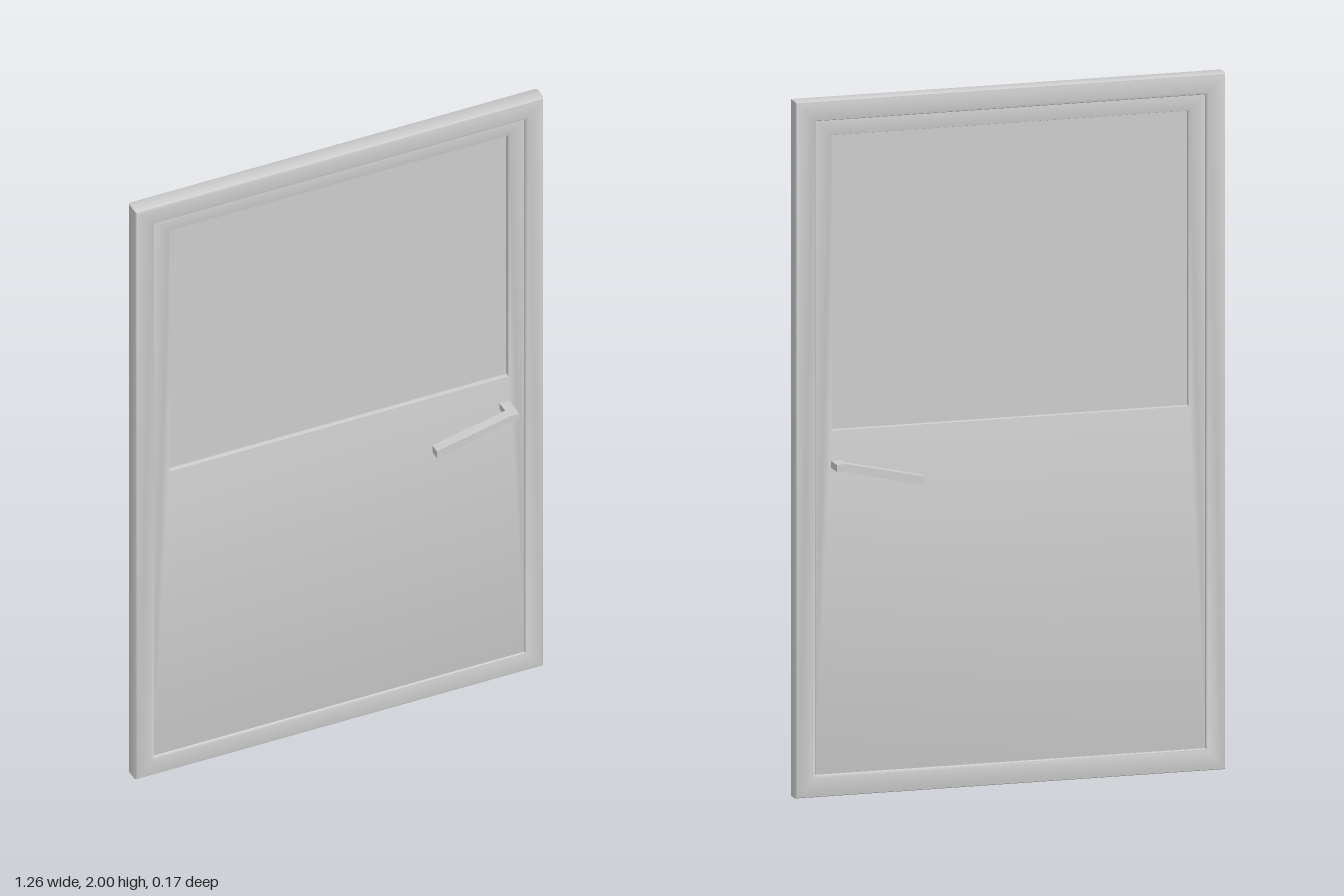
import * as THREE from 'three';
import { toCreasedNormals } from 'three/addons/utils/BufferGeometryUtils.js';

const material = new THREE.MeshStandardMaterial({ color: 0xcccccc });
const CENTER_Z = -0.008; // mid-plane of the door

function rectPoints(x, y0, y1) {
  return [[-x, y0], [x, y0], [x, y1], [-x, y1]].map(([a, b]) => new THREE.Vector2(a, b));
}

// Extrusion between z0 and z1 whose bevel stays inside the given outline
function slab(name, points, hole, z0, z1, bevel) {
  const shape = new THREE.Shape(points);
  if (hole) shape.holes.push(new THREE.Path(hole));
  const geometry = new THREE.ExtrudeGeometry(shape, {
    depth: z1 - z0 - 2 * bevel,
    bevelEnabled: bevel > 0,
    bevelThickness: bevel,
    bevelSize: bevel,
    bevelOffset: -bevel,
    bevelSegments: 2,
  });
  geometry.translate(0, 0, z0 + bevel);
  const mesh = new THREE.Mesh(toCreasedNormals(geometry, 0.6), material);
  mesh.name = name;
  return mesh;
}

// Lever handle: a square stem and a sloping grip, on the front (1) or back (-1)
function handle(side) {
  const group = new THREE.Group();
  group.name = side > 0 ? 'frontHandle' : 'backHandle';
  const grip = [[0.27, 0.89], [0.285, 0.89], [0.5, 0.943], [0.525, 0.943], [0.525, 0.963], [0.5, 0.965], [0.27, 0.914]]
    .map(([x, y]) => new THREE.Vector2(x, y));
  const mid = -0.0035;
  const near = mid + side * 0.054, far = mid + side * 0.084;
  group.add(slab('grip', grip, null, Math.min(near, far), Math.max(near, far), 0));

  const stem = new THREE.Mesh(new THREE.BoxGeometry(0.03, 0.02, 0.062), material);
  stem.name = 'stem';
  stem.position.set(0.51, 0.953, mid + side * 0.031);
  group.add(stem);
  return group;
}

export function createModel() {
  const door = new THREE.Group();
  door.name = 'door';

  // Outer frame with rounded edges
  door.add(slab('frame', rectPoints(0.63, 0, 2), rectPoints(0.57, 0.065, 1.94),
    CENTER_Z - 0.0285, CENTER_Z + 0.0285, 0.01));

  // Leaf set slightly back in the frame, with a window opening
  door.add(slab('leaf', rectPoints(0.575, 0.06, 1.945), rectPoints(0.522, 1.05, 1.897),
    CENTER_Z - 0.02, CENTER_Z + 0.02, 0.002));

  // Pane filling the opening
  const pane = new THREE.Mesh(new THREE.BoxGeometry(1.06, 0.86, 0.012), material);
  pane.name = 'windowPane';
  pane.position.set(0, 1.4735, CENTER_Z);
  door.add(pane);

  for (const side of [1, -1]) door.add(handle(side));
  return door;
}
